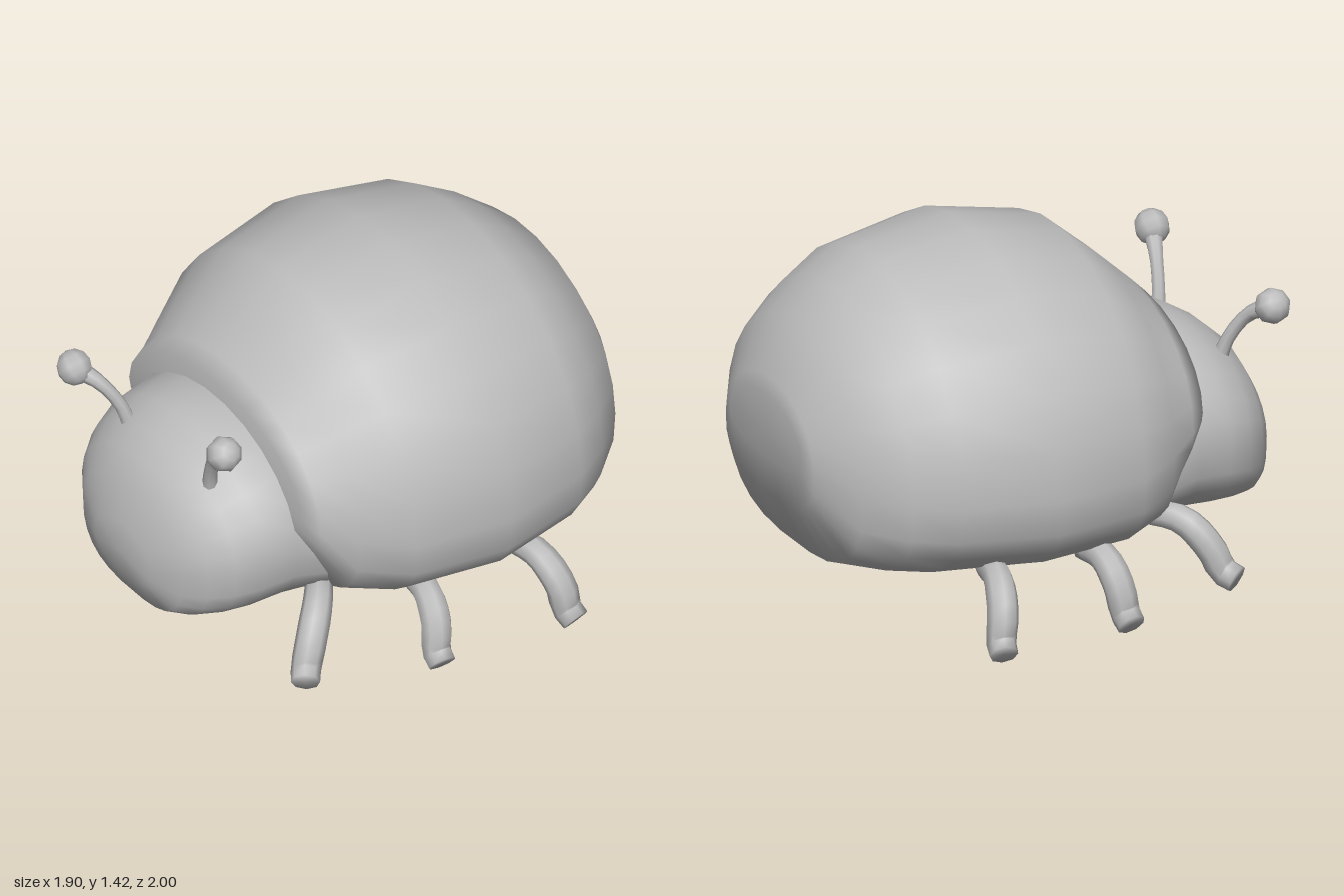
import * as THREE from 'three';

// Skin a list of closed rings (counter-clockwise about the path), with a centre point at each end.
function loft(rings, startTip, endTip) {
  const n = rings[0].length, pos = [], index = [];
  rings.forEach(r => r.forEach(p => pos.push(p.x, p.y, p.z)));
  for (let i = 0; i < rings.length - 1; i++) {
    for (let j = 0; j < n; j++) {
      const k = (j + 1) % n;
      const a = i * n + j, b = i * n + k, c = (i + 1) * n + k, d = (i + 1) * n + j;
      index.push(a, b, c, a, c, d);
    }
  }
  const s = rings.length * n, e = s + 1, last = (rings.length - 1) * n;
  pos.push(startTip.x, startTip.y, startTip.z, endTip.x, endTip.y, endTip.z);
  for (let j = 0; j < n; j++) {
    const k = (j + 1) % n;
    index.push(s, k, j, e, last + j, last + k);
  }
  const g = new THREE.BufferGeometry();
  g.setAttribute('position', new THREE.Float32BufferAttribute(pos, 3));
  g.setIndex(index);
  g.computeVertexNormals();
  return g;
}

// Cross-section: elliptical above the widest line, flatter and boxier below it.
function section([z, top, halfWidth, wideY, bottom], sides = 26) {
  const ring = [];
  for (let j = 0; j < sides; j++) {
    const t = (j / sides) * Math.PI * 2, c = Math.cos(t), s = Math.sin(t);
    const p = s < -1e-6 ? 0.72 : 1;
    const x = Math.sign(c) * Math.pow(Math.abs(c), p) * halfWidth;
    const y = s >= 0 ? wideY + s * (top - wideY)
      : wideY - Math.pow(-s, p) * (wideY - bottom);
    ring.push(new THREE.Vector3(x, y, z));
  }
  return ring;
}

function hull(rows, startTip, endTip) {
  return loft(rows.map(r => section(r)), new THREE.Vector3(...startTip), new THREE.Vector3(...endTip));
}

// Curved limb whose thickness follows a list of radii.
function limb(points, radii, steps = 8, sides = 8) {
  const curve = new THREE.CatmullRomCurve3(points.map(p => new THREE.Vector3(...p)));
  const { normals, binormals } = curve.computeFrenetFrames(steps);
  const rings = [];
  for (let i = 0; i <= steps; i++) {
    const u = i / steps, f = u * (radii.length - 1), k = Math.min(Math.floor(f), radii.length - 2);
    const r = THREE.MathUtils.lerp(radii[k], radii[k + 1], f - k);
    const centre = curve.getPointAt(u);
    const ring = [];
    for (let j = 0; j < sides; j++) {
      const a = (j / sides) * Math.PI * 2;
      ring.push(centre.clone()
        .addScaledVector(normals[i], Math.cos(a) * r)
        .addScaledVector(binormals[i], Math.sin(a) * r));
    }
    rings.push(ring);
  }
  return loft(rings, curve.getPointAt(0), curve.getPointAt(1));
}

export function createModel() {
  const model = new THREE.Group();
  const grey = new THREE.MeshStandardMaterial({ color: 0xbcbcbc });
  grey.name = 'plain grey';
  const add = (name, geometry, parent = model) => {
    const mesh = new THREE.Mesh(geometry, grey);
    mesh.name = name;
    parent.add(mesh);
    return mesh;
  };

  // Domed shell and belly: z, top, half width, widest height, bottom
  add('shell', hull([
    [-0.995, 0.87, 0.30, 0.72, 0.62],
    [-0.975, 0.93, 0.38, 0.66, 0.46],
    [-0.87, 1.14, 0.58, 0.62, 0.25],
    [-0.72, 1.26, 0.71, 0.60, 0.225],
    [-0.56, 1.355, 0.80, 0.60, 0.21],
    [-0.18, 1.43, 0.88, 0.60, 0.20],
    [0.2, 1.36, 0.81, 0.60, 0.21],
    [0.38, 1.21, 0.69, 0.62, 0.24],
    [0.5, 1.10, 0.60, 0.66, 0.48],
    [0.56, 1.04, 0.555, 0.72, 0.60],
  ], [0, 0.73, -1.0], [0, 0.75, 0.56]));

  // Head, running back under the shell
  add('head', hull([
    [0.2, 0.75, 0.56, 0.45, 0.22],
    [0.38, 0.92, 0.56, 0.5, 0.235],
    [0.56, 0.975, 0.53, 0.56, 0.23],
    [0.70, 0.93, 0.515, 0.55, 0.225],
    [0.80, 0.87, 0.475, 0.53, 0.22],
    [0.88, 0.80, 0.41, 0.51, 0.215],
    [0.94, 0.70, 0.32, 0.48, 0.225],
    [0.985, 0.56, 0.18, 0.44, 0.33],
  ], [0, 0.5, 0.2], [0, 0.44, 1.0]));

  // Three pairs of bent legs
  const legs = {
    frontLeg: [[0.42, 0.31, 0.38], [0.55, 0.30, 0.48], [0.62, 0.20, 0.56], [0.645, 0.11, 0.60], [0.69, 0.085, 0.635]],
    middleLeg: [[0.56, 0.27, 0.06], [0.70, 0.27, 0.08], [0.785, 0.18, 0.10], [0.805, 0.08, 0.115], [0.85, 0.045, 0.12]],
    rearLeg: [[0.60, 0.28, -0.36], [0.76, 0.28, -0.39], [0.86, 0.18, -0.42], [0.875, 0.08, -0.435], [0.92, 0.045, -0.445]],
  };
  for (const [name, path] of Object.entries(legs)) {
    for (const side of [1, -1]) {
      const points = path.map(([x, y, z]) => [x * side, y, z]);
      add(name + (side > 0 ? 'Left' : 'Right'), limb(points, [0.05, 0.055, 0.06, 0.06, 0.055], 10));
    }
  }

  // Antennae with knobs, the right one leaning further forward
  const antennae = {
    antennaLeft: [[0.25, 0.74, 0.76], [0.28, 0.88, 0.78], [0.345, 1.01, 0.80], [0.43, 1.08, 0.825]],
    antennaRight: [[-0.23, 0.74, 0.77], [-0.26, 0.88, 0.81], [-0.31, 0.98, 0.87], [-0.39, 1.03, 0.93]],
  };
  for (const [name, path] of Object.entries(antennae)) {
    const antenna = new THREE.Group();
    antenna.name = name;
    add('stalk', limb(path, [0.035, 0.026, 0.026, 0.04]), antenna);
    const knob = add('knob', new THREE.SphereGeometry(0.07, 8, 6), antenna);
    knob.position.set(...path[3]);
    knob.rotation.z = path[3][0] > 0 ? -0.9 : 0.9;
    model.add(antenna);
  }
  return model;
}
